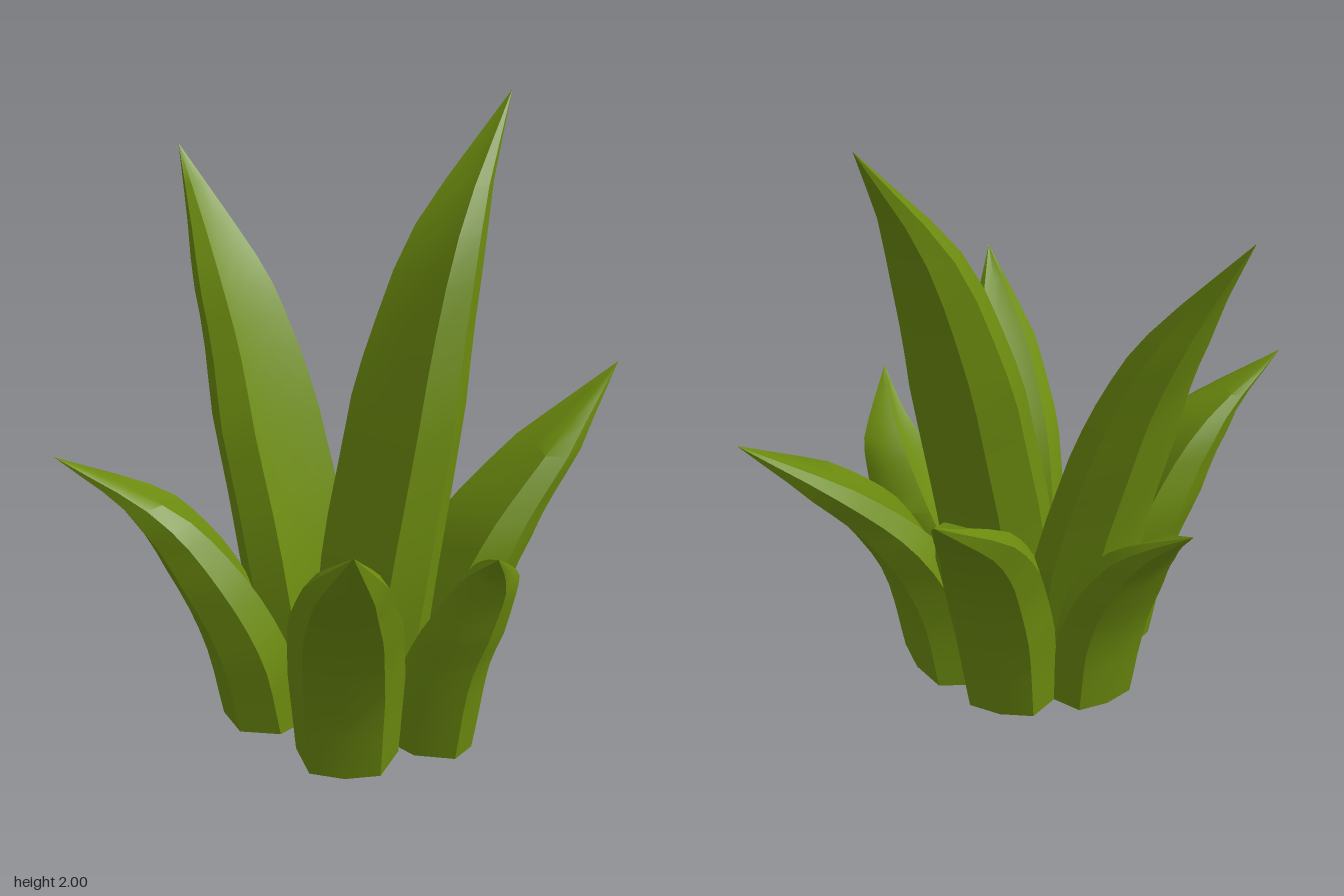
import * as THREE from 'three';
import { toCreasedNormals } from 'three/addons/utils/BufferGeometryUtils.js';

// Leaf cross-section as [across, outward]: bevelled outer face, shallow groove inside
const SECTION = [
  [1, -0.1], [0.68, 0.84], [0, 1], [-0.68, 0.84],
  [-1, -0.1], [-0.74, -0.92], [0, -0.74], [0.74, -0.92],
];

// Width and thickness scale by height fraction
const PROFILE = [
  [0, 0.9, 1], [0.3, 1, 1], [0.55, 0.95, 0.92], [0.78, 0.65, 0.67], [1, 0, 0],
];

function profileAt(f) {
  for (let i = 1; i < PROFILE.length; i++) {
    const a = PROFILE[i - 1], b = PROFILE[i];
    if (f <= b[0]) {
      const k = (f - a[0]) / (b[0] - a[0]);
      return [a[1] + (b[1] - a[1]) * k, a[2] + (b[2] - a[2]) * k];
    }
  }
  return [0, 0];
}

// Horizontal sections lofted along a curved spine, narrowing to a pointed tip
function leafGeometry({ spine, facing, width, thick }) {
  const curve = new THREE.CatmullRomCurve3(spine.map((p) => new THREE.Vector3(...p)));
  const tip = spine[spine.length - 1];
  const rings = 14, n = SECTION.length;
  const ox = Math.sin(facing), oz = Math.cos(facing);
  const pos = [], index = [];

  for (let r = 0; r < rings; r++) {
    const c = curve.getPoint(r / rings);
    const [w, d] = profileAt(c.y / tip[1]);
    for (const [s, o] of SECTION) {
      const a = s * w * width, b = o * d * thick;
      pos.push(c.x + a * oz + b * ox, c.y, c.z - a * ox + b * oz);
    }
  }
  const tipId = rings * n, baseId = tipId + 1;
  pos.push(...tip, ...spine[0]);

  for (let i = 0; i < n; i++) {
    const j = (i + 1) % n;
    for (let r = 0; r < rings - 1; r++) {
      const a = r * n + i, b = r * n + j;
      index.push(a, a + n, b, b, a + n, b + n);
    }
    index.push((rings - 1) * n + i, tipId, (rings - 1) * n + j);
    index.push(baseId, i, j);
  }
  const geo = new THREE.BufferGeometry();
  geo.setAttribute('position', new THREE.Float32BufferAttribute(pos, 3));
  geo.setIndex(index);
  return toCreasedNormals(geo, 0.75);
}

// facing: outward direction measured from +z towards +x; width and thick are half sizes
const LEAVES = [
  { name: 'tallLeaf', facing: 2.7, width: 0.22, thick: 0.135, spine: [
    [0.09, 0, 0.05], [0.125, 0.5, 0.03], [0.165, 0.9, -0.04], [0.2, 1.25, -0.12], [0.26, 1.64, -0.25], [0.36, 2, -0.47]] },
  { name: 'tallRightLeaf', facing: -1.92, width: 0.215, thick: 0.13, spine: [
    [-0.17, 0, -0.02], [-0.23, 0.5, -0.04], [-0.33, 0.9, -0.08], [-0.42, 1.2, -0.13], [-0.53, 1.45, -0.18], [-0.72, 1.77, -0.28]] },
  { name: 'backLeaf', facing: Math.PI, width: 0.18, thick: 0.12, spine: [
    [0, 0, -0.23], [0.01, 0.3, -0.28], [0.02, 0.58, -0.38], [0.01, 0.82, -0.55], [0, 1.17, -0.97]] },
  { name: 'backLeftLeaf', facing: 2.35, width: 0.21, thick: 0.12, spine: [
    [0.26, 0, -0.1], [0.31, 0.3, -0.12], [0.41, 0.6, -0.22], [0.54, 0.82, -0.36], [0.73, 1.09, -0.6]] },
  { name: 'backRightLeaf', facing: -2.35, width: 0.165, thick: 0.105, spine: [
    [-0.26, 0, -0.13], [-0.3, 0.3, -0.16], [-0.38, 0.55, -0.24], [-0.47, 0.74, -0.34], [-0.63, 0.94, -0.51]] },
  { name: 'frontRightLeaf', facing: -0.85, width: 0.205, thick: 0.13, spine: [
    [-0.23, 0, 0.23], [-0.275, 0.3, 0.27], [-0.38, 0.57, 0.33], [-0.51, 0.8, 0.42], [-0.74, 1, 0.58]] },
  { name: 'frontLeaf', facing: 0.33, width: 0.185, thick: 0.14, spine: [
    [0.14, 0, 0.37], [0.16, 0.3, 0.425], [0.2, 0.56, 0.53], [0.27, 0.8, 0.7], [0.4, 1.09, 0.97]] },
  { name: 'smallLeftLeaf', facing: 1.5, width: 0.14, thick: 0.135, spine: [
    [0.37, 0, 0.18], [0.415, 0.3, 0.18], [0.5, 0.52, 0.2], [0.57, 0.69, 0.25], [0.63, 0.84, 0.41]] },
];

export function createModel() {
  const leafGreen = new THREE.MeshStandardMaterial({ color: 0x6d8c0f });
  leafGreen.name = 'leafGreen';

  const plant = new THREE.Group();
  plant.name = 'plant';
  for (const leaf of LEAVES) {
    const mesh = new THREE.Mesh(leafGeometry(leaf), leafGreen);
    mesh.name = leaf.name;
    plant.add(mesh);
  }
  return plant;
}
